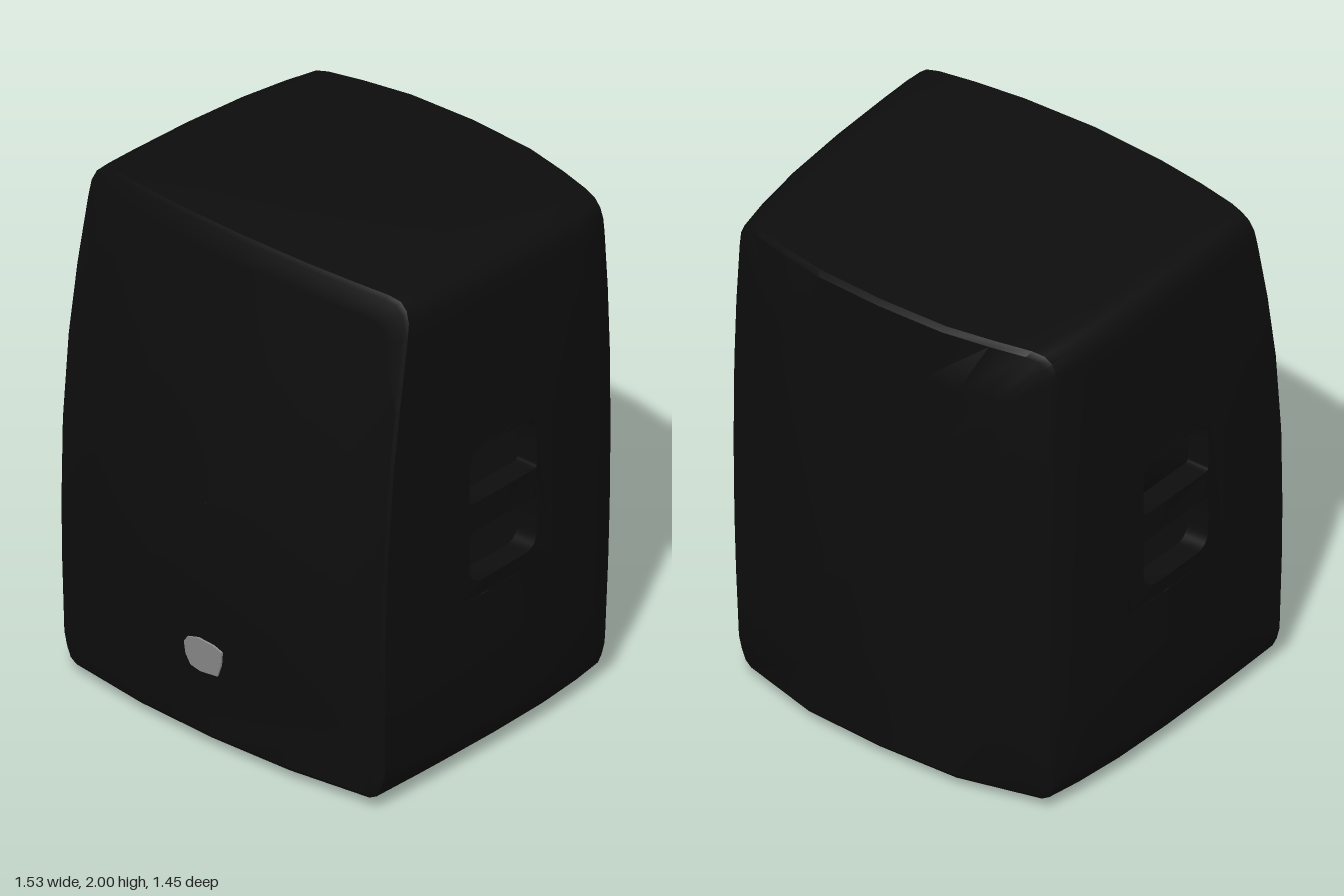
import * as THREE from 'three';
import { toCreasedNormals } from 'three/addons/utils/BufferGeometryUtils.js';

// Linear lookup in a short table of [key, value] pairs
function lookup(table, k) {
  if (k <= table[0][0]) return table[0][1];
  for (let i = 1; i < table.length; i++) {
    const [k0, v0] = table[i - 1], [k1, v1] = table[i];
    if (k <= k1) return v0 + (v1 - v0) * (k - k0) / (k1 - k0);
  }
  return table[table.length - 1][1];
}

const WIDTH = 0.765;
// Half outline of the cabinet seen from the front, bottom centre to top centre
const SIDE = [[0.15, 0.755], [0.45, 0.76], [0.68, 0.763], [1, 0.765], [1.33, 0.764], [1.6, 0.76], [1.85, 0.752]];
const HALF = [
  [0, 0.04], [0.35, 0.04], [0.69, 0.045], [0.72, 0.06], [0.74, 0.1],
  ...SIDE.map(([y, x]) => [x, y]),
  [0.747, 0.91 + 1], [0.73, 1.95], [0.7, 1.975], [0.65, 1.986], [0.5, 1.992], [0.3, 1.997], [0, 2],
];
const OUTLINE = [...HALF, ...HALF.slice(1, -1).reverse().map(([x, y]) => [-x, y])];

const FRONT = [[0.04, 0.68], [0.27, 0.683], [0.4, 0.705], [0.7, 0.725], [1, 0.707], [1.4, 0.66], [1.7, 0.6], [2, 0.533]];
const BULGE = [[0.04, 0.055], [0.4, 0.08], [0.7, 0.1], [1.4, 0.08], [2, 0.065]];
const halfWidth = z => lookup([[-0.615, 0.71], [-0.45, 0.734], [-0.27, 0.755], [0, 0.765], [0.35, 0.765], [0.65, 0.757]], z);
const frontZ = (x, y) => lookup(FRONT, y) - lookup(BULGE, y) * Math.min(1, (x / 0.7) ** 2);
const backZ = (x, y) => -0.725 + 0.03 * (y - 1) ** 2 + lookup([[0, 0], [0.33, 0.015], [0.71, 0.11]], Math.abs(x));
const topDrop = (y, z) => 0.065 * Math.max(0, (0.53 - z) / 1.23) ** 1.6 * Math.max(0, (y - 1.33) / 0.67);

// One ring of points: the outline scaled about its centre and set at a depth
function ring(scale, depth, widthAt) {
  return OUTLINE.map(([px, py]) => {
    const x = px * scale * halfWidth(widthAt) / WIDTH, y = 1 + (py - 1) * scale;
    const z = depth(x, y);
    return [x, y - topDrop(y, z), z];
  });
}

// Joins rings into a skin, leaving out the quads that skip() picks
function skin(rings, skip = () => false) {
  const n = OUTLINE.length, index = [];
  for (let r = 0; r < rings.length - 1; r++) {
    for (let i = 0; i < n; i++) {
      if (skip(r, i)) continue;
      const j = (i + 1) % n, a = r * n + i, b = r * n + j, c = b + n, d = a + n;
      index.push(a, b, c, a, c, d);
    }
  }
  const g = new THREE.BufferGeometry();
  g.setAttribute('position', new THREE.Float32BufferAttribute(rings.flat(2), 3));
  g.setIndex(index);
  return toCreasedNormals(g, 0.6);
}

function roundedRect(target, x0, y0, x1, y1, r) {
  target.moveTo(x0 + r, y0);
  target.lineTo(x1 - r, y0);
  target.quadraticCurveTo(x1, y0, x1, y0 + r);
  target.lineTo(x1, y1 - r);
  target.quadraticCurveTo(x1, y1, x1 - r, y1);
  target.lineTo(x0 + r, y1);
  target.quadraticCurveTo(x0, y1, x0, y1 - r);
  target.lineTo(x0, y0 + r);
  target.quadraticCurveTo(x0, y0, x0 + r, y0);
  return target;
}

// Side panel with two hand openings, bent to the cabinet's side
function handlePanel(side) {
  const depth = 0.09;
  const shape = new THREE.Shape([[-0.26, 0.68], [0.26, 0.68], [0.26, 1.33], [-0.26, 1.33]].map(p => new THREE.Vector2(...p)));
  // Outer corners of the openings are rounder than those along the grip
  const opening = (yGrip, yEnd) => {
    const h = new THREE.Path(), s = Math.sign(yEnd - yGrip), w = 0.178, r = 0.07, q = 0.02;
    h.moveTo(-w + q, yGrip);
    h.lineTo(w - q, yGrip);
    h.quadraticCurveTo(w, yGrip, w, yGrip + s * q);
    h.lineTo(w, yEnd - s * r);
    h.quadraticCurveTo(w, yEnd, w - r, yEnd);
    h.lineTo(-w + r, yEnd);
    h.quadraticCurveTo(-w, yEnd, -w, yEnd - s * r);
    h.lineTo(-w, yGrip + s * q);
    h.quadraticCurveTo(-w, yGrip, -w + q, yGrip);
    return h;
  };
  shape.holes.push(opening(1.06, 1.27), opening(0.95, 0.74));
  const g = new THREE.ExtrudeGeometry(shape, { depth, bevelEnabled: false, curveSegments: 6 });
  const p = g.attributes.position;
  for (let i = 0; i < p.count; i++) {
    const y = p.getY(i), z = 0.01 - side * p.getX(i);
    const x = lookup(SIDE, y) * halfWidth(z) / WIDTH - (depth - p.getZ(i));
    p.setXYZ(i, side * x, y, z);
  }
  return toCreasedNormals(g, 0.6);
}

export function createModel() {
  const model = new THREE.Group();
  const black = new THREE.MeshStandardMaterial({ color: 0x0d0d0d, side: THREE.DoubleSide });
  black.name = 'black';
  const grey = new THREE.MeshStandardMaterial({ color: 0x8c8c8c });
  grey.name = 'grey';
  const add = (name, geometry, material) => {
    const mesh = new THREE.Mesh(geometry, material);
    mesh.name = name;
    model.add(mesh);
    return mesh;
  };

  // Cabinet: domed back, then the sides up to the front rim
  const backRings = [0.001, 0.25, 0.5, 0.75, 0.98].map(s => ring(s, backZ, -0.7));
  const stations = [-0.45, -0.25, 0.01, 0.27, 0.4].map(z => ring(1, () => z, z));
  const rim = ring(1, (x, y) => frontZ(x, y) - 0.01, 0.6);
  const cabinetRings = [...backRings, ring(1, (x, y) => backZ(x, y) + 0.015, -0.615), ...stations, rim];
  const firstGap = backRings.length + 2;
  const inGap = (r, i) => {
    if (r < firstGap || r > firstGap + 1) return false;
    const ya = OUTLINE[i][1], yb = OUTLINE[(i + 1) % OUTLINE.length][1];
    return Math.min(ya, yb) >= 0.68 && Math.max(ya, yb) <= 1.33;
  };
  add('cabinet', skin(cabinetRings, inGap), black);

  // Curved front grille
  const grilleRings = [0.985, 0.9, 0.75, 0.6, 0.45, 0.3, 0.15, 0.001].map(s => ring(s, frontZ, 0.6));
  add('grille', skin([rim, ...grilleRings]), black);

  // Handles on both sides
  add('leftHandle', handlePanel(1), black);
  add('rightHandle', handlePanel(-1), black);

  // Speaker cone behind the grille, seen through the hand openings
  const cone = add('speakerCone', new THREE.CylinderGeometry(0.5, 0.07, 0.5, 32, 1, true), black);
  cone.rotation.x = Math.PI / 2;
  cone.position.set(0, 1, 0.22);

  // Plain badge following the grille
  const badgeShape = new THREE.Shape([[-0.075, 0.32], [-0.03, 0.31], [0.05, 0.32], [0.07, 0.37], [0.08, 0.43],
    [0.04, 0.445], [-0.03, 0.45], [-0.08, 0.435], [-0.098, 0.41], [-0.095, 0.36]].map(p => new THREE.Vector2(...p)));
  const badge = new THREE.ExtrudeGeometry(badgeShape, { depth: 0.008, bevelEnabled: false });
  const bp = badge.attributes.position;
  for (let i = 0; i < bp.count; i++) {
    bp.setZ(i, bp.getZ(i) + 0.003 + 0.698 + (bp.getY(i) - 0.38) * 0.1);
  }
  badge.computeVertexNormals();
  add('badge', badge, grey);

  // Four feet
  for (const x of [-0.54, 0.54]) {
    for (const z of [0.43, -0.47]) {
      add('foot', new THREE.CylinderGeometry(0.075, 0.058, 0.05, 20), black).position.set(x, 0.025, z);
    }
  }
  return model;
}
